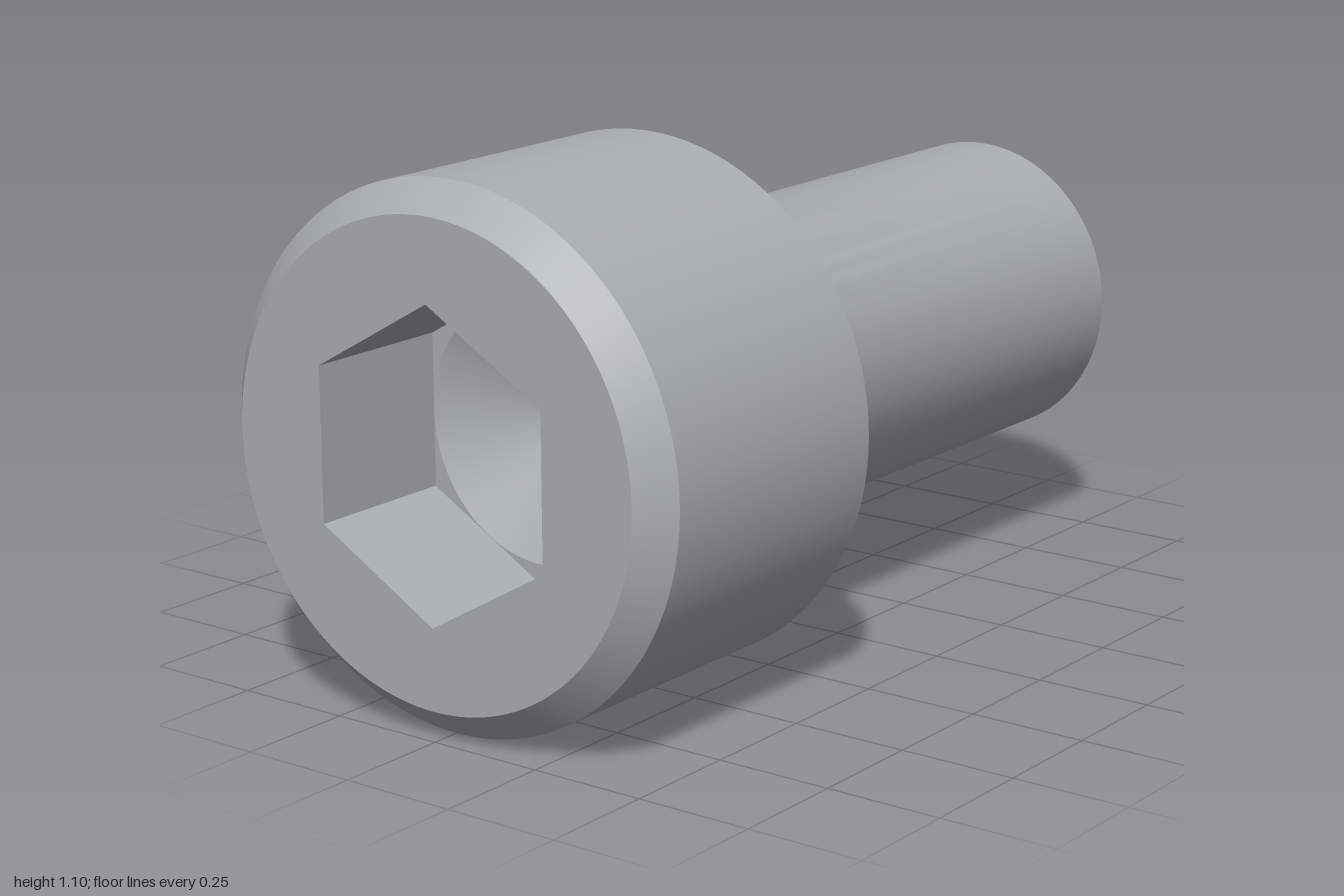
import * as THREE from 'three';
import { toCreasedNormals } from 'three/addons/utils/BufferGeometryUtils.js';

const SEGMENTS = 96;
const AXIS_Y = 0.55;      // height of the screw axis
const FACE_R = 0.488;     // flat front face
const HEX_R = 0.319;      // socket corner radius
const DRILL_R = 0.2755;   // drilled cone inside the socket
const SOCKET_Z = 0.67;    // socket floor

export function createModel() {
  const group = new THREE.Group();
  group.name = 'socketHeadScrew';
  const steel = new THREE.MeshStandardMaterial({ color: 0xa9aeb1 });
  steel.name = 'steel grey';

  const add = (name, geometry, z = 0) => {
    const mesh = new THREE.Mesh(geometry, steel);
    mesh.name = name;
    mesh.position.set(0, AXIS_Y, z);
    group.add(mesh);
  };

  // Turned part: profile of [radius, z], revolved about the z axis
  const turn = (name, profile, segments = SEGMENTS) => {
    const points = profile.map(([r, z]) => new THREE.Vector2(r, z));
    const geometry = new THREE.LatheGeometry(points, segments).rotateX(Math.PI / 2);
    add(name, toCreasedNormals(geometry, 0.5));
  };

  // Flat plate facing front, with a hole
  const plate = (name, outline, hole, z) => {
    outline.holes.push(hole);
    add(name, new THREE.ShapeGeometry(outline, SEGMENTS), z);
  };

  const circle = (Type, r) => new Type().absarc(0, 0, r, 0, Math.PI * 2, false);
  const hexagon = (Type) => {
    const points = [];
    for (let i = 0; i < 6; i++) {
      const a = Math.PI / 2 + (i * Math.PI) / 3;
      points.push(new THREE.Vector2(HEX_R * Math.cos(a), HEX_R * Math.sin(a)));
    }
    return new Type(points);
  };

  // Shank with chamfered tip and a small fillet under the head
  const shank = [[0, -1], [0.255, -1], [0.333, -0.92]];
  const fillet = 0.02;
  for (let i = 0; i <= 6; i++) {
    const a = (i / 6) * Math.PI / 2;
    shank.push([
      0.333 + fillet * (1 - Math.cos(a)),
      0.33 - fillet * (1 - Math.sin(a)),
    ]);
  }
  turn('shank', shank);

  // Head: underside, side and front chamfer
  turn('head', [[0.333 + fillet, 0.33], [0.55, 0.33], [0.55, 0.937], [FACE_R, 1]]);
  plate('headFace', circle(THREE.Shape, FACE_R), hexagon(THREE.Path), 1);

  // Hexagonal socket: walls, corner floor and drilled cone
  turn('socketWalls', [[HEX_R, 1], [HEX_R, SOCKET_Z]], 6);
  plate('socketFloor', hexagon(THREE.Shape), circle(THREE.Path, DRILL_R), SOCKET_Z);
  turn('socketCone', [[DRILL_R, SOCKET_Z], [0, SOCKET_Z - 0.16]]);

  return group;
}
